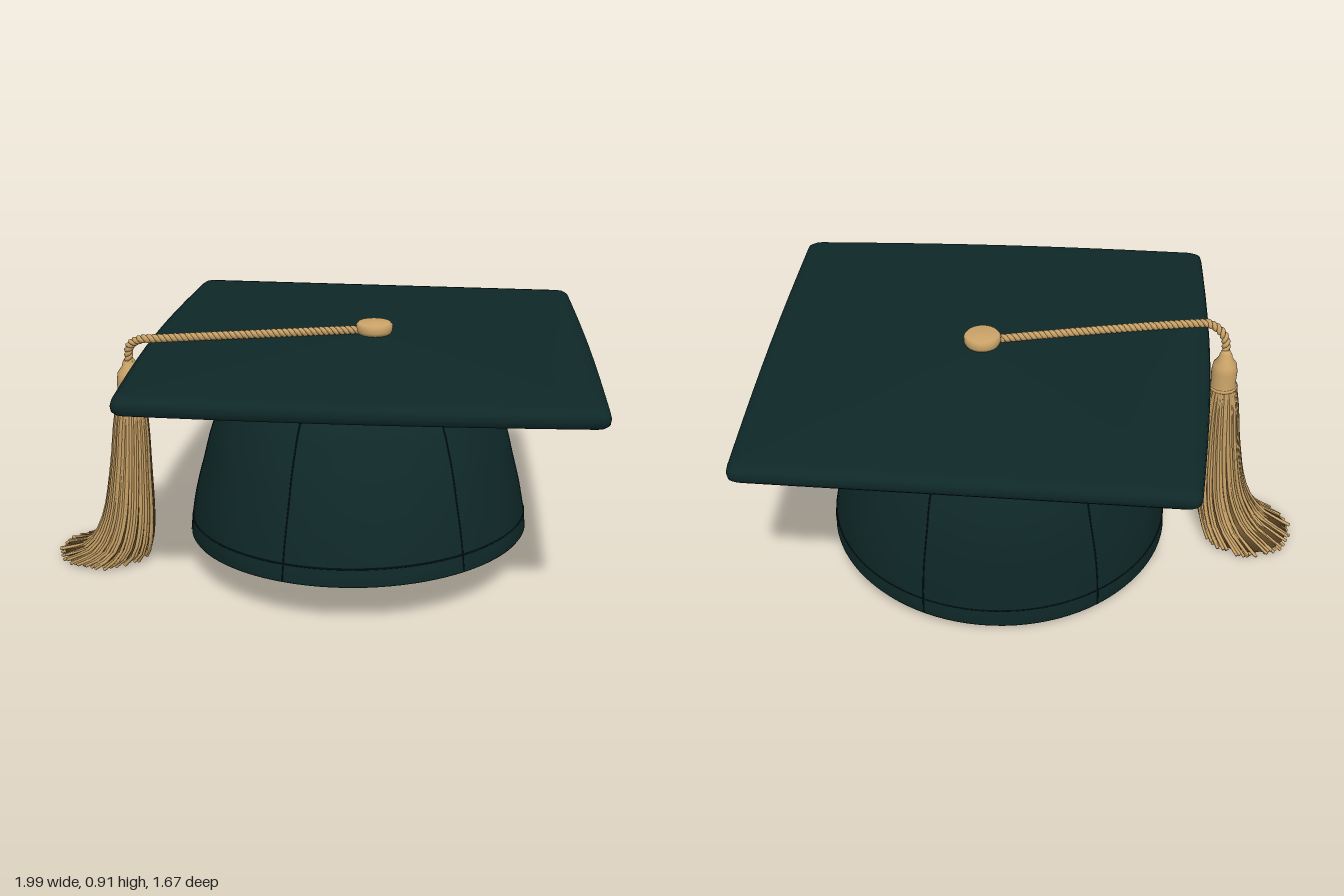
import * as THREE from 'three';
import { mergeGeometries } from 'three/addons/utils/BufferGeometryUtils.js';

const paint = (name, color, side = THREE.FrontSide) => {
  const m = new THREE.MeshStandardMaterial({ color, side });
  m.name = name;
  return m;
};

// Closed-ring surface: rows run along the profile, each ring has n points
function loft(rows, n, point) {
  const pos = [], idx = [];
  for (let j = 0; j < rows; j++) {
    for (let i = 0; i < n; i++) pos.push(...point(i, j));
  }
  for (let j = 0; j < rows - 1; j++) {
    for (let i = 0; i < n; i++) {
      const a = j * n + i, b = j * n + (i + 1) % n;
      idx.push(a, a + n, b, b, a + n, b + n);
    }
  }
  const g = new THREE.BufferGeometry();
  g.setAttribute('position', new THREE.Float32BufferAttribute(pos, 3));
  g.setIndex(idx);
  g.computeVertexNormals();
  return g;
}

const spline = (pts, closed = false) =>
  new THREE.CatmullRomCurve3(pts.map(p => new THREE.Vector3(...p)), closed, 'catmullrom');

// Skull cap: half width, front depth and back depth at even heights from 0 to TOP
const TOP = 0.84;
const capProfile = spline([
  [0.625, 0.65, 0.53], [0.62, 0.645, 0.53], [0.6, 0.615, 0.53], [0.565, 0.57, 0.515],
  [0.525, 0.505, 0.475], [0.45, 0.405, 0.4], [0.24, 0.16, 0.18],
]);
const rimHeight = a => 0.118 + 0.073 * Math.sin(a + 0.2) + 0.02 * Math.cos(a) ** 2;
function capPoint(a, v, inset = 0) {
  const y = rimHeight(a) + (TOP - rimHeight(a)) * v;
  const r = capProfile.getPoint(Math.min(1, Math.max(0, y / TOP)));
  const depth = Math.sin(a) > 0 ? r.y : r.z;
  return [0.13 + (r.x - inset) * Math.cos(a), y, (depth - inset) * Math.sin(a)];
}

function capGeometry() {
  const rows = [], n = 96, steps = 20;
  for (let k = steps; k >= 0; k--) rows.push([k / steps, 0.024]);
  rows.push([-0.012, 0.018], [-0.012, 0.006]);
  for (let k = 0; k <= steps; k++) rows.push([k / steps, 0]);
  return loft(rows.length, n, (i, j) => capPoint(i / n * Math.PI * 2, ...rows[j]));
}

function seamGeometry() {
  const parts = [];
  for (let s = 0; s < 6; s++) {
    const a = s * Math.PI / 3 - 0.05, pts = [];
    for (let k = 0; k <= 14; k++) pts.push(capPoint(a, k / 14 * 0.96));
    parts.push(new THREE.TubeGeometry(spline(pts), 40, 0.0025, 4));
  }
  const hem = [];
  for (let k = 0; k < 48; k++) hem.push(capPoint(k / 48 * Math.PI * 2, 0.085));
  parts.push(new THREE.TubeGeometry(spline(hem, true), 144, 0.003, 4, true));
  return mergeGeometries(parts);
}

// Board: slightly bowed quadrilateral with rounded corners and a soft edge
function boardGeometry() {
  const corners = [[0.995, -0.64, 0.01], [0.855, 0.835, 0.02], [-0.685, 0.675, 0.03], [-0.475, -0.845, 0.0]];
  const edgePoint = (i, t) => {
    const [x, z, bow] = corners[i], [x2, z2] = corners[(i + 1) % 4];
    const dx = x2 - x, dz = z2 - z, len = Math.hypot(dx, dz), b = bow * Math.sin(Math.PI * t);
    return new THREE.Vector2(x + dx * t + dz / len * b, z + dz * t - dx / len * b);
  };
  const outline = [];
  for (let i = 0; i < 4; i++) {
    const bend = new THREE.QuadraticBezierCurve(edgePoint((i + 3) % 4, 0.975), edgePoint(i, 0), edgePoint(i, 0.025));
    outline.push(...bend.getPoints(5));
    for (let k = 1; k < 10; k++) outline.push(edgePoint(i, k / 10));
  }
  const rows = [[0, 0.818], [0.5, 0.816], [0.9, 0.81], [0.955, 0.803], [0.985, 0.805], [0.997, 0.815],
    [1, 0.833], [0.994, 0.85], [0.975, 0.862], [0.94, 0.867], [0.7, 0.872], [0.35, 0.878], [0, 0.88]];
  const cx = 0.17, cz = 0.005;
  return loft(rows.length, outline.length, (i, j) => {
    const [s, y] = rows[j], p = outline[i];
    return [cx + (p.x - cx) * s, y, cz + (p.y - cz) * s];
  });
}

// One twisted strand wound around the cord path
class Twist extends THREE.Curve {
  constructor(path, phase) {
    super();
    this.path = path;
    this.phase = phase;
  }
  getPoint(t, target = new THREE.Vector3()) {
    const tangent = this.path.getTangentAt(t);
    const n = new THREE.Vector3(0, 0, 1).cross(tangent).normalize();
    const b = tangent.clone().cross(n);
    const a = t * 26 * Math.PI * 2 + this.phase;
    return target.copy(this.path.getPointAt(t))
      .addScaledVector(n, 0.007 * Math.cos(a)).addScaledVector(b, 0.007 * Math.sin(a));
  }
}

function cordGeometry() {
  const path = spline([[0.18, 0.893, 0.02], [-0.2, 0.892, 0.065], [-0.58, 0.888, 0.103],
    [-0.645, 0.882, 0.095], [-0.685, 0.845, 0.068], [-0.69, 0.76, 0.052]]);
  return mergeGeometries([0, Math.PI].map(p => new THREE.TubeGeometry(new Twist(path, p), 320, 0.0095, 6)));
}

// Tassel skirt sections: centre x, height, centre z, radius
const skirt = [[-0.69, 0.66, 0.05, 0.044], [-0.693, 0.55, 0.052, 0.06], [-0.7, 0.4, 0.054, 0.071],
  [-0.718, 0.2, 0.05, 0.092], [-0.758, 0.08, 0.03, 0.122], [-0.822, 0.018, -0.02, 0.168]];

function strandGeometry() {
  let seed = 7;
  const rand = () => (seed = (seed * 16807) % 2147483647) / 2147483647;
  const strand = (r, a) => {
    const lift = rand() * 0.014, wobble = rand() * 0.1 - 0.05;
    const pts = skirt.map(([x, y, z, R], k) => {
      const b = a + wobble * k * 0.4;
      return [x + R * r * Math.cos(b), y + (k === 5 ? lift : 0), z + R * r * Math.sin(b)];
    });
    return new THREE.TubeGeometry(spline(pts), 14, 0.0062, 5);
  };
  const parts = [];
  for (let i = 0; i < 66; i++) parts.push(strand(0.93 + rand() * 0.09, i / 66 * Math.PI * 2));
  for (let i = 0; i < 150; i++) parts.push(strand(0.94 * Math.sqrt((i + 0.5) / 150), i * 2.39996));
  return mergeGeometries(parts);
}

function coreGeometry() {
  const rows = [[-0.8, 0.034, 0, 0], ...skirt.slice().reverse()];
  return loft(rows.length, 24, (i, j) => {
    const [x, y, z, R] = rows[j], a = i / 24 * Math.PI * 2;
    return [x + R * 0.9 * Math.cos(a), Math.max(y, 0.034), z + R * 0.9 * Math.sin(a)];
  });
}

const lathe = pts => new THREE.LatheGeometry(pts.map(p => new THREE.Vector2(...p)), 32);

export function createModel() {
  const green = paint('dark green cloth', 0x0f2828);
  const seam = paint('seam green', 0x0a1c1c);
  const gold = paint('gold thread', 0xcba468, THREE.DoubleSide);
  const brown = paint('thread gap brown', 0x6e5530);

  const group = new THREE.Group();
  group.name = 'graduationCap';
  const add = (name, geometry, material, parent = group) => {
    const mesh = new THREE.Mesh(geometry, material);
    mesh.name = name;
    parent.add(mesh);
    return mesh;
  };

  add('skullCap', capGeometry(), green);
  add('capSeams', seamGeometry(), seam);
  add('board', boardGeometry(), green);

  // Button and cord on top
  add('button', lathe([[0.05, 0.872], [0.06, 0.882], [0.065, 0.892], [0.065, 0.91], [0.058, 0.918], [0, 0.921]]), gold)
    .position.set(0.18, 0, 0.02);
  add('cord', cordGeometry(), gold);

  // Tassel with a bound head and a swept skirt
  const tassel = new THREE.Group();
  tassel.name = 'tassel';
  group.add(tassel);
  add('tasselHead', lathe([[0.05, 0.645], [0.051, 0.66], [0.045, 0.668], [0.047, 0.72], [0.042, 0.75],
    [0.026, 0.772], [0.022, 0.79], [0.012, 0.805], [0, 0.806]]), gold, tassel).position.set(-0.69, 0, 0.05);
  const band = add('tasselBand', new THREE.TorusGeometry(0.046, 0.008, 8, 32), gold, tassel);
  band.rotation.x = Math.PI / 2;
  band.position.set(-0.69, 0.655, 0.05);
  add('tasselCore', coreGeometry(), brown, tassel);
  add('tasselStrands', strandGeometry(), gold, tassel);

  return group;
}
